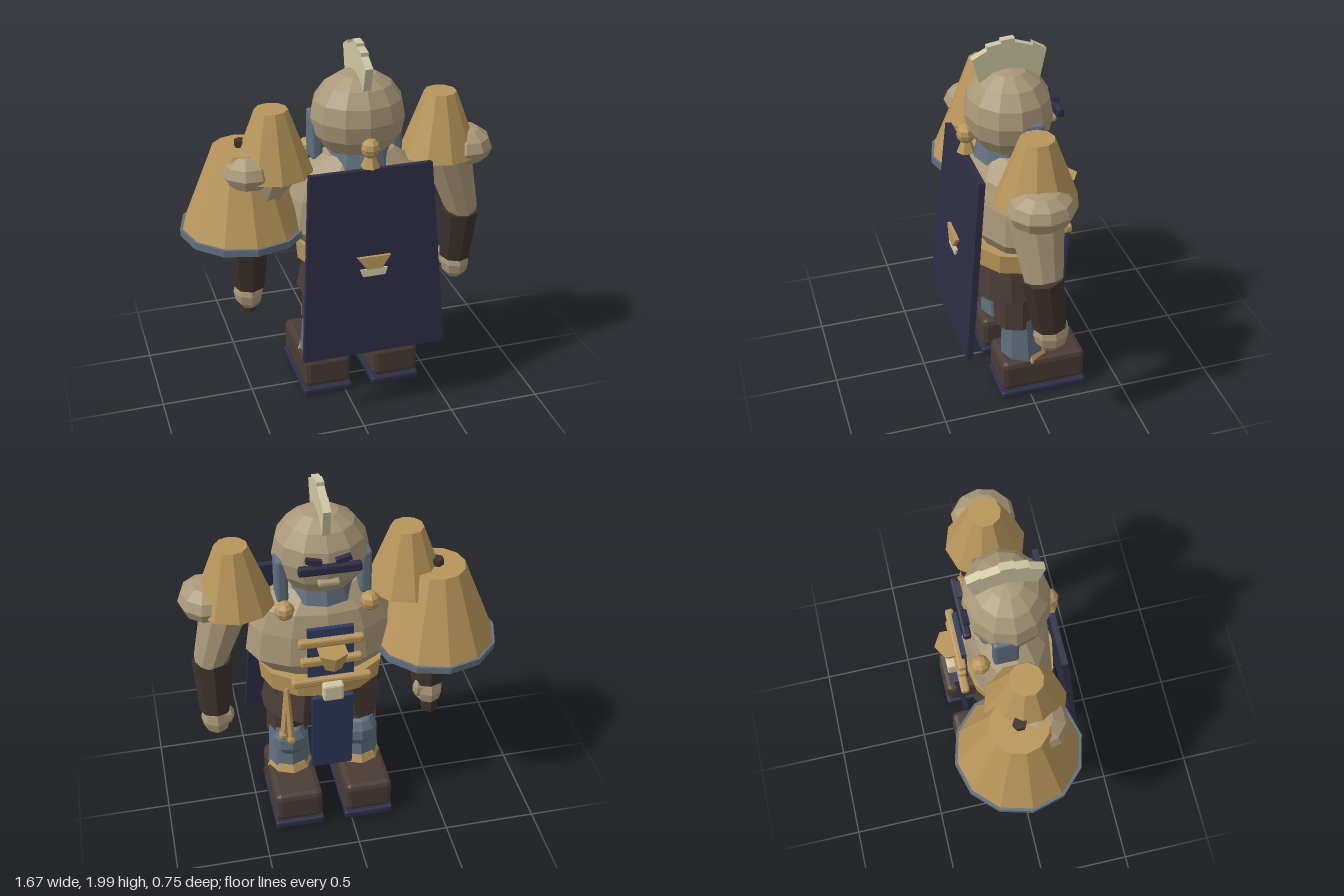
import * as THREE from 'three';
import { RoundedBoxGeometry } from 'three/addons/geometries/RoundedBoxGeometry.js';

const mat = (name, color, double) => {
  const m = new THREE.MeshStandardMaterial({ color });
  m.name = name;
  if (double) m.side = THREE.DoubleSide;
  return m;
};

export function createModel() {
  const skin = mat('skin tan', 0xa99878);
  const gold = mat('brass', 0xb8965a);
  const leather = mat('brown leather', 0x493c36, true);
  const darkLeather = mat('dark leather', 0x3d312c);
  const navy = mat('navy', 0x2d2d45);
  const blue = mat('blue cloth', 0x2e3c60);
  const steel = mat('blue grey', 0x607080);
  const cream = mat('cream', 0xcfc7a2);

  const model = new THREE.Group();
  model.name = 'armouredFigure';
  const body = new THREE.Group(); // figure, mirrored about its own centre line
  body.name = 'figure';
  body.position.x = 0.097;
  model.add(body);

  // ---- helpers: every mesh gets faceted normals
  function add(name, geo, material, x = 0, y = 0, z = 0, parent = body) {
    const g = geo.index ? geo.toNonIndexed() : geo;
    g.computeVertexNormals();
    const m = new THREE.Mesh(g, material);
    m.name = name;
    m.position.set(x, y, z);
    parent.add(m);
    return m;
  }
  const ball = (rx, ry, rz, w = 8, h = 6) => new THREE.SphereGeometry(1, w, h).scale(rx, ry, rz);
  const box = (w, h, d) => new THREE.BoxGeometry(w, h, d);
  const chamfer = (w, h, d, r) => new RoundedBoxGeometry(w, h, d, 1, r);
  const cone = (rt, rb, h, n = 8, open = false) => new THREE.CylinderGeometry(rt, rb, h, n, 1, open);
  // tapered limb from a (top) to b (bottom)
  function limb(name, a, b, ra, rb, material, sides = 8, sx = 1) {
    const A = new THREE.Vector3(...a), B = new THREE.Vector3(...b);
    const m = add(name, cone(ra, rb, A.distanceTo(B), sides).scale(sx, 1, 1), material);
    m.position.copy(A).add(B).multiplyScalar(0.5);
    m.quaternion.setFromUnitVectors(new THREE.Vector3(0, 1, 0), A.sub(B).normalize());
    return m;
  }
  // extruded trapezoid, centred, wider or narrower at the bottom
  function trapezoid(wTop, wBottom, h, d) {
    const g = box(1, h, d), p = g.attributes.position;
    for (let i = 0; i < p.count; i++) p.setX(i, p.getX(i) * (p.getY(i) > 0 ? wTop : wBottom));
    return g;
  }

  // ---- torso, belt and skirt
  const profile = [[0, 0.83], [0.28, 0.85], [0.31, 0.93], [0.405, 1.03], [0.38, 1.2], [0.33, 1.32], [0.2, 1.42], [0, 1.45]];
  add('torso', new THREE.LatheGeometry(profile.map(([r, y]) => new THREE.Vector2(r, y)), 12).scale(1, 1, 0.57), skin, 0, 0, 0.035);
  add('belt', cone(0.34, 0.33, 0.11, 12).scale(1, 1, 0.73), gold, 0, 0.885, 0.04);
  add('skirt', new THREE.CylinderGeometry(0.29, 0.335, 0.19, 12, 1, true, -Math.PI + 0.45, 2 * Math.PI - 0.9)
    .scale(1, 1, 0.78), leather, 0, 0.745, 0.05);
  add('collar', cone(0.15, 0.18, 0.11, 10), steel, 0, 1.425, 0.03);

  // ---- head, crest and face
  add('head', ball(0.25, 0.235, 0.225, 12, 8), skin, 0, 1.615, 0.03);
  const crest = new THREE.Shape([[0.18, 1.78], [0.217, 1.91], [0.14, 1.95], [0.14, 1.97], [0.07, 1.98], [0.07, 1.995], [0, 2],
    [0, 1.98], [-0.09, 1.95], [-0.09, 1.965], [-0.16, 1.925], [-0.13, 1.78]].map(([z, y]) => new THREE.Vector2(-z, y)));
  add('crest', new THREE.ExtrudeGeometry(crest, { depth: 0.04, bevelEnabled: false }).translate(0, 0, -0.02).rotateY(Math.PI / 2), cream);
  add('visor', chamfer(0.32, 0.05, 0.04, 0.012), navy, -0.005, 1.63, -0.195);
  add('mouth', chamfer(0.11, 0.03, 0.05, 0.01), skin, 0, 1.545, -0.185);

  // ---- cape with badge on the +z side
  const cape = add('cape', trapezoid(0.65, 0.78, 1.025, 0.033), navy, 0, 0.892, 0.307);
  cape.rotation.x = -0.095;
  const badge = add('badgeTop', trapezoid(0.18, 0.08, 0.068, 0.03), gold, 0, 0.905, 0.327);
  const badgeLow = add('badgeBase', trapezoid(0.15, 0.12, 0.04, 0.02), cream, 0, 0.848, 0.328);
  badge.rotation.x = badgeLow.rotation.x = -0.095;
  add('claspBall', ball(0.05, 0.052, 0.05), gold, 0, 1.51, 0.25);
  add('claspStem', cone(0.025, 0.05, 0.06, 6), gold, 0, 1.44, 0.25);

  // ---- chest panel, bars, buckle and hanging cloth on the -z side
  add('chestPanel', box(0.24, 0.34, 0.025), blue, 0, 1.12, -0.215);
  [[1.22, 0.34], [1.1, 0.32], [0.97, 0.42]].forEach(([y, w]) =>
    add('chestBar', chamfer(w, 0.045, 0.045, 0.012), gold, 0, y, -0.235));
  add('chestCup', cone(0.085, 0.05, 0.1, 6), gold, 0, 1.13, -0.265);
  add('buckle', chamfer(0.11, 0.1, 0.06, 0.012), cream, 0, 0.925, -0.27);
  add('frontCloth', box(0.22, 0.51, 0.025), blue, 0, 0.63, -0.247).rotation.x = -0.08;

  // ---- tassels on one hip
  [[0.21, 0.53, -0.18], [0.25, 0.55, -0.155]].forEach(([x, y, z]) => {
    limb('tasselCord', [0.22, 0.86, -0.13], [x, y, z], 0.015, 0.02, gold, 6);
    add('tasselBead', ball(0.026, 0.03, 0.026, 6, 5), gold, x, y + 0.01, z);
  });

  // ---- mirrored parts
  for (const s of [-1, 1]) {
    add('brow', box(0.08, 0.025, 0.03), navy, s * 0.075, 1.675, -0.187).rotation.z = s * 0.25;
    add('earGuard', chamfer(0.06, 0.25, 0.13, 0.015), steel, s * 0.215, 1.505, -0.02);
    add('chestStud', ball(0.052, 0.052, 0.052), gold, s * 0.22, 1.38, -0.15);

    // shoulder and arm
    add('shoulderCone', cone(0.085, 0.21, 0.335, 10), gold, s * 0.45, 1.517, 0.025);
    add('shoulder', ball(0.15, 0.105, 0.17, 10, 6), skin, s * 0.585, 1.38, 0.045);
    limb('upperArm', [s * 0.49, 1.35, 0.045], [s * 0.6, 0.99, 0.03], 0.15, 0.1, skin, 10, 0.85);
    limb('forearm', [s * 0.588, 0.995, 0.032], [s * 0.588, 0.69, -0.008], 0.107, 0.088, darkLeather);
    add('hand', ball(0.082, 0.105, 0.095), skin, s * 0.592, 0.645, -0.015);
    add('thumb', ball(0.035, 0.06, 0.04, 6, 5), skin, s * 0.53, 0.67, -0.045);

    // leg
    const x = s * 0.196;
    limb('thigh', [x * 0.85, 0.82, 0.04], [x, 0.44, 0.045], 0.14, 0.118, leather);
    limb('shin', [x, 0.52, 0.02], [x, 0.21, 0.01], 0.105, 0.122, steel);
    add('kneeGuard', ball(0.1, 0.1, 0.07, 8, 5), steel, x, 0.44, -0.06);
    add('ankleCuff', cone(0.1, 0.13, 0.06, 8), gold, x, 0.25, -0.01);
    add('shoe', chamfer(0.262, 0.18, 0.47, 0.03), leather, x, 0.148, -0.077);
    add('sole', chamfer(0.275, 0.045, 0.48, 0.012), navy, x, 0.0285, -0.077);
  }

  // ---- large shade on a staff, held in the -x hand
  const staff = new THREE.Group();
  staff.name = 'shadeStaff';
  staff.position.set(-0.5, 0, -0.04);
  model.add(staff);
  add('pole', cone(0.035, 0.048, 1.0, 6), darkLeather, 0, 1.01, 0, staff);
  add('shade', cone(0.15, 0.322, 0.43, 12), gold, 0, 1.262, 0, staff);
  add('shadeRim', cone(0.336, 0.336, 0.037, 12), steel, 0, 1.03, 0, staff);

  return model;
}
